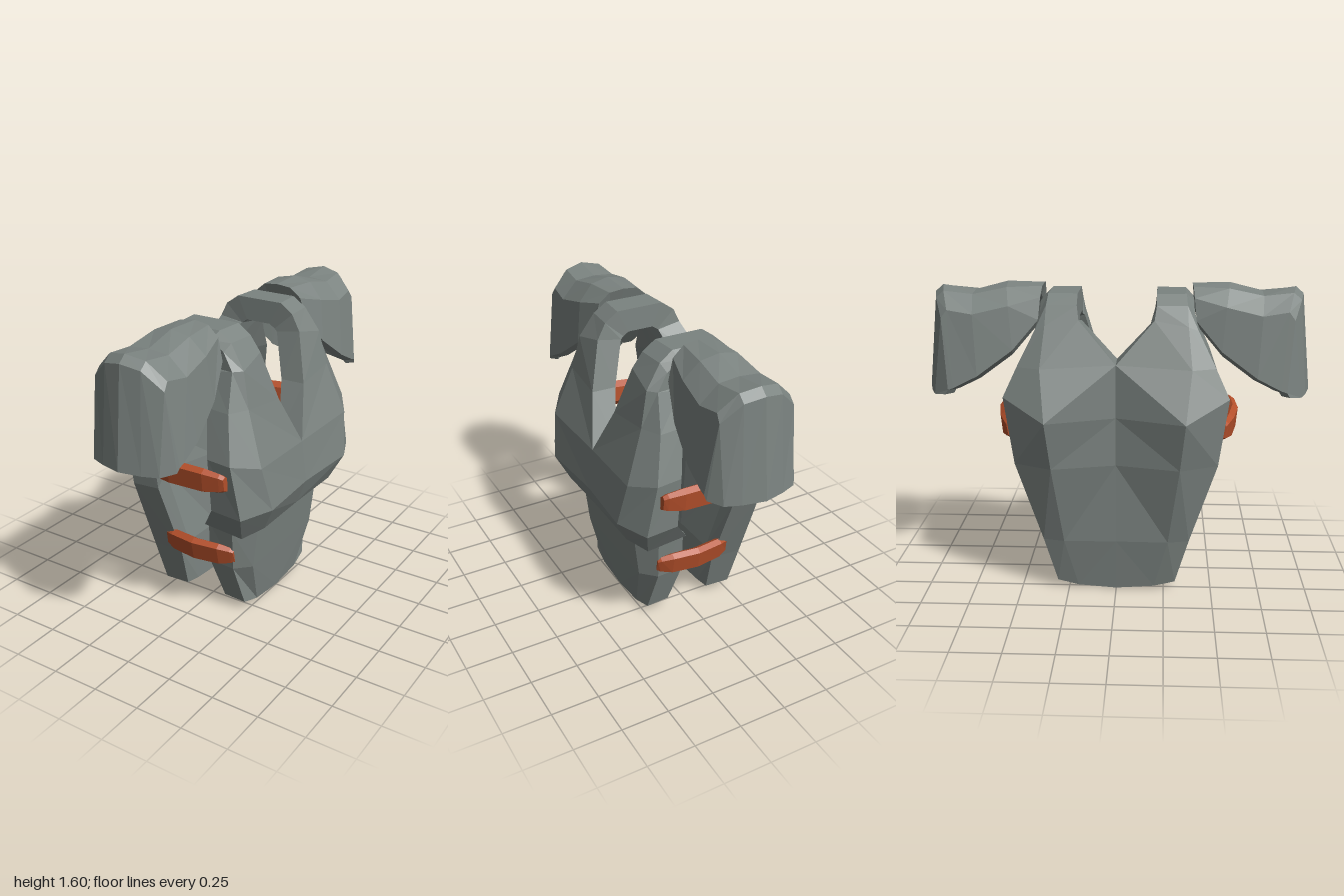
import * as THREE from 'three';

const plateMat = new THREE.MeshStandardMaterial({ color: 0x7b8380, flatShading: true });
const strapMat = new THREE.MeshStandardMaterial({ color: 0xb5502b, flatShading: true });

// Closed skin over a series of rings with equal point counts, turned outwards by its signed volume
function loft(rings) {
  const n = rings[0].length, last = rings[rings.length - 1], first = rings[0], tris = [];
  const quad = (a, b, c, d) => tris.push([a, b, c], [a, c, d]);
  for (let i = 0; i < rings.length - 1; i++)
    for (let j = 0; j < n; j++) {
      const k = (j + 1) % n;
      quad(rings[i][j], rings[i][k], rings[i + 1][k], rings[i + 1][j]);
    }
  // caps are bridged between the first and second half of each end ring
  for (let j = 0; j < n / 2 - 1; j++) {
    quad(last[j], last[j + 1], last[n - 2 - j], last[n - 1 - j]);
    quad(first[j + 1], first[j], first[n - 1 - j], first[n - 2 - j]);
  }
  const v = (p) => new THREE.Vector3(...p);
  const volume = tris.reduce((s, [a, b, c]) => s + v(a).dot(v(b).cross(v(c))), 0);
  const flat = tris.flatMap(([a, b, c]) => (volume < 0 ? [a, c, b] : [a, b, c])).flat();
  const g = new THREE.BufferGeometry();
  g.setAttribute('position', new THREE.Float32BufferAttribute(flat, 3));
  g.computeVertexNormals();
  return g;
}

// Cuirass sections: inner edge, ridge and side edge points, then the [x, y] offset to the inside
const chest = [
  [[.25, 0, 0], [.25, .02, .2], [.24, .05, .31], [-.13, 0]],
  [[.285, .28, 0], [.285, .28, .3], [.21, .28, .375], [-.15, 0]],
  [[.31, .5, 0], [.31, .5, .3], [.22, .51, .4], [-.15, .02]],
  [[.37, .555, 0], [.375, .555, .34], [.31, .525, .45], [-.23, .01]],
  [[.42, .69, 0], [.445, .695, .38], [.37, .69, .555], [-.18, 0]],
  [[.39, .91, 0], [.41, .93, .43], [.32, .97, .57], [-.14, 0]],
  [[.32, 1.17, .125], [.31, 1.2, .39], [.26, 1.2, .49], [-.13, 0]],
  [[.25, 1.42, .19], [.27, 1.38, .37], [.23, 1.38, .41], [-.13, -.02]],
];
const shoulder = [
  [[.2, 1.5, .2], [.19, 1.5, .355], [.17, 1.46, .39], [-.1, -.09]],
  [[.13, 1.55, .2], [.12, 1.55, .35], [.1, 1.51, .39], [-.06, -.12]],
];
const back = [
  [[-.23, 1.43, .19], [-.24, 1.4, .36], [-.23, 1.38, .41], [.13, -.02]],
  [[-.31, 1.22, 0], [-.33, 1.2, .38], [-.28, 1.2, .5], [.16, 0]],
  [[-.32, .95, 0], [-.45, .95, .35], [-.31, 1.05, .57], [.14, 0]],
  [[-.317, .7, 0], [-.4, .7, .325], [-.305, .7, .52], [.145, 0]],
  [[-.31, .28, 0], [-.315, .28, .27], [-.29, .28, .38], [.165, 0]],
  [[-.275, 0, 0], [-.275, .015, .2], [-.27, .04, .31], [.135, 0]],
];
const flipX = ([a, b, c, o]) => [...[a, b, c].map(([x, y, z]) => [-x, y, z]), [-o[0], o[1]]];

function cuirassHalf(s) {
  const rows = [...chest, ...shoulder, ...shoulder.map(flipX).reverse(), ...back];
  return loft(rows.map(([a, b, c, o]) => {
    const outer = [a, b, c];
    const inner = outer.map(([x, y, z]) => [x + o[0], y + o[1], z * 0.97]).reverse();
    return [...outer, ...inner].map(([x, y, z]) => [x, y, z * s]);
  }));
}

// Pad sections from neck to outer rim: top, upper, bevel and lower side point
const padRows = [
  [[0, 1.59, .38], [.08, 1.58, .385], [.14, 1.53, .39], [.17, 1.42, .4]],
  [[0, 1.595, .57], [.1, 1.575, .565], [.18, 1.49, .55], [.21, 1.27, .53]],
  [[0, 1.55, .74], [.11, 1.54, .74], [.2, 1.45, .73], [.24, 1.14, .71]],
  [[0, 1.575, .91], [.1, 1.555, .89], [.19, 1.47, .86], [.245, 1.08, .83]],
  [[0, 1.54, .95], [.1, 1.52, .93], [.195, 1.43, .89], [.245, 1.07, .86]],
  [[0, 1.04, 1], [.11, 1.035, .97], [.19, 1.035, .94], [.24, 1.045, .875]],
];

function shoulderPad(s) {
  return loft(padRows.map(([top, ...half]) => {
    const outer = [...half.map(([x, y, z]) => [-x, y, z]).reverse(), top, ...half];
    // hollow inside, drawn towards a point under the pad
    const inner = outer.map(([x, y, z]) => [x * 0.85, y - (y - 1.05) * 0.12, z - (z - 0.55) * 0.12]).reverse();
    return [...outer, ...inner].map(([x, y, z]) => [x, y, z * s]);
  }));
}

// Bevelled strap bowed across x, its ends narrowed and drawn back to the plates
function strap(s, half, y, z, lean, skew) {
  const profile = [[-.04, -.035], [-.07, -.01], [-.05, .03], [.05, .03], [.07, 0], [.045, -.035]];
  return loft([-1, -.92, -.65, 0, .65, .92, 1].map((t) => {
    const k = 1 - .4 * Math.abs(t) ** 6, bow = -.045 * t * t + skew * t;
    return profile.map(([py, pz]) => [t * half, y + py * k, (z + bow + pz * k + py * lean) * s]);
  }));
}

export function createModel() {
  const group = new THREE.Group();
  const add = (name, geometry, material) => {
    const mesh = new THREE.Mesh(geometry, material);
    mesh.name = name;
    group.add(mesh);
  };
  for (const [s, side] of [[1, 'front'], [-1, 'rear']]) {
    add(side + 'CuirassHalf', cuirassHalf(s), plateMat);
    add(side + 'ShoulderPad', shoulderPad(s), plateMat);
    add(side + 'UpperStrap', strap(s, .3, .88, .6, .1, .02), strapMat);
    add(side + 'LowerStrap', strap(s, .22, .355, .41, .2, 0), strapMat);
  }
  return group;
}
